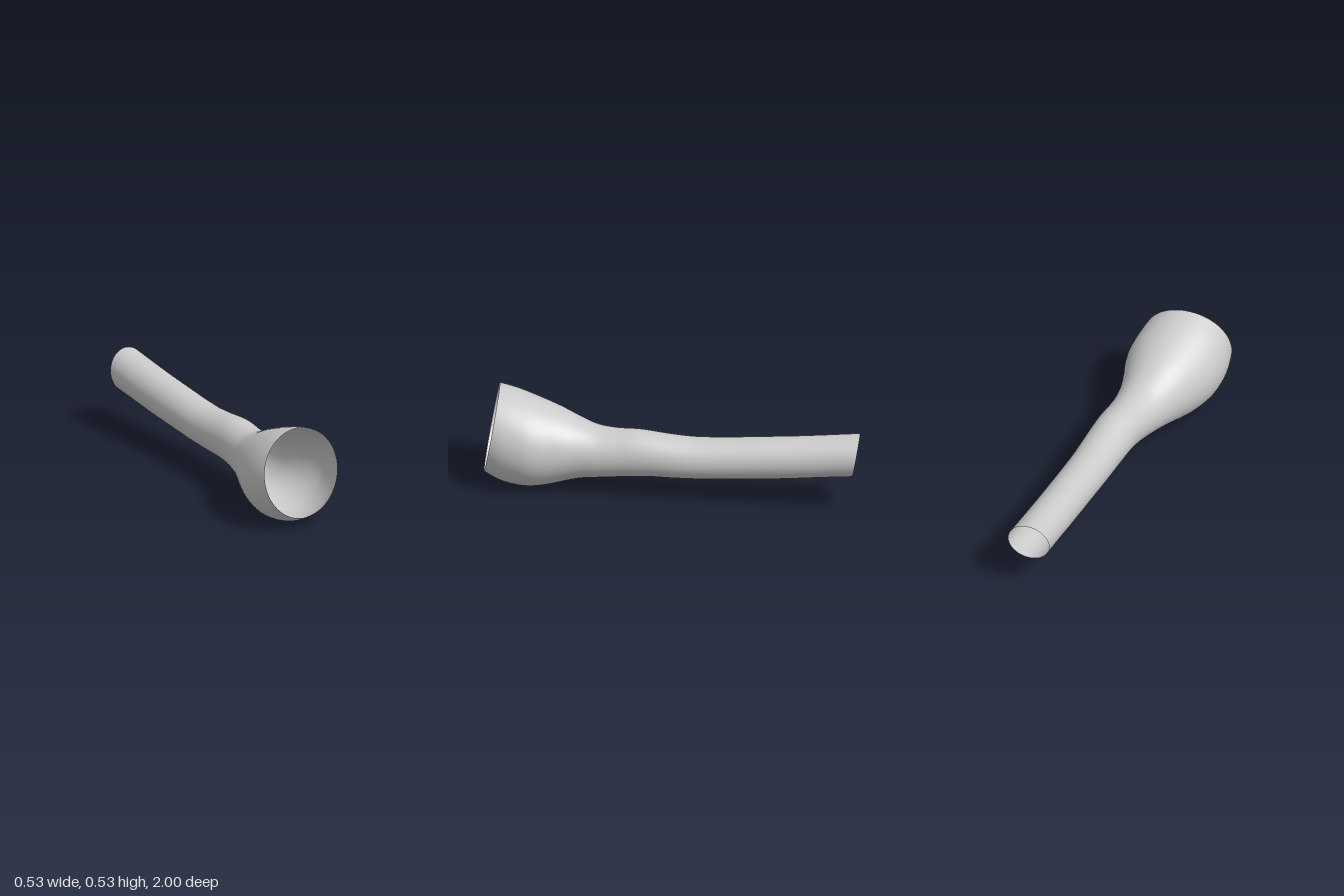
import * as THREE from 'three';

// Outline of the tube as [z, value] pairs, back to front
const TOP = [[-1, 0.432], [-0.7, 0.397], [-0.5, 0.378], [-0.3, 0.36], [-0.13, 0.35], [0, 0.355], [0.17, 0.368],
  [0.3, 0.361], [0.4, 0.366], [0.5, 0.397], [0.6, 0.438], [0.8, 0.505], [0.92, 0.533], [1, 0.545]];
const BOTTOM = [[-1, 0.205], [-0.8, 0.185], [-0.6, 0.163], [-0.4, 0.146], [-0.2, 0.131], [0, 0.123], [0.1, 0.121],
  [0.2, 0.112], [0.4, 0.083], [0.5, 0.064], [0.65, 0.02], [0.78, 0.003], [0.9, 0.02], [1, 0.065]];
const RIGHT = [[-1, 0.043], [-0.5, 0.02], [-0.2, 0.003], [0, -0.012], [0.2, -0.035], [0.3, -0.058], [0.4, -0.093],
  [0.5, -0.14], [0.6, -0.188], [0.7, -0.23], [0.8, -0.259], [0.9, -0.268], [1, -0.255]];
const LEFT = [[-1, 0.266], [-0.5, 0.24], [-0.2, 0.226], [0, 0.217], [0.2, 0.204], [0.3, 0.195], [0.4, 0.19],
  [0.5, 0.193], [0.6, 0.213], [0.7, 0.238], [0.77, 0.245], [0.9, 0.227], [1, 0.19]];

// Smooth cubic lookup through the pairs
function sample(p, z) {
  const slope = (i) => {
    const a = p[Math.max(i - 1, 0)], b = p[Math.min(i + 1, p.length - 1)];
    return (b[1] - a[1]) / (b[0] - a[0]);
  };
  let i = 0;
  while (i < p.length - 2 && z > p[i + 1][0]) i++;
  const h = p[i + 1][0] - p[i][0];
  const t = THREE.MathUtils.clamp((z - p[i][0]) / h, 0, 1);
  const t2 = t * t, t3 = t2 * t;
  return (2 * t3 - 3 * t2 + 1) * p[i][1] + (t3 - 2 * t2 + t) * h * slope(i)
    + (3 * t2 - 2 * t3) * p[i + 1][1] + (t3 - t2) * h * slope(i + 1);
}

// Point on the elliptical section at depth z
function sectionPoint(z, angle) {
  const l = sample(LEFT, z), r = sample(RIGHT, z), t = sample(TOP, z), b = sample(BOTTOM, z);
  return [(l + r) / 2 + (l - r) / 2 * Math.cos(angle), (t + b) / 2 + (t - b) / 2 * Math.sin(angle)];
}

export function createModel() {
  const RINGS = 120, SIDES = 72, TILT_X = -0.065, TILT_Y = -0.175;
  const positions = [], index = [];

  // Rings lie in planes tilted square to the tube's axis, so both rims slant
  for (let i = 0; i <= RINGS; i++) {
    const zc = THREE.MathUtils.lerp(-0.98, 0.958, i / RINGS);
    const cx = (sample(LEFT, zc) + sample(RIGHT, zc)) / 2;
    const cy = (sample(TOP, zc) + sample(BOTTOM, zc)) / 2;
    for (let j = 0; j < SIDES; j++) {
      const angle = j / SIDES * Math.PI * 2;
      let z = zc, x, y;
      for (let k = 0; k < 8; k++) {
        [x, y] = sectionPoint(z, angle);
        z = zc + TILT_X * (x - cx) + TILT_Y * (y - cy);
      }
      positions.push(x, y, z);
      if (i < RINGS) {
        const a = i * SIDES + j, b = i * SIDES + (j + 1) % SIDES;
        index.push(a, b, b + SIDES, a, b + SIDES, a + SIDES);
      }
    }
  }

  const geometry = new THREE.BufferGeometry();
  geometry.setAttribute('position', new THREE.Float32BufferAttribute(positions, 3));
  geometry.setIndex(index);
  geometry.computeVertexNormals();

  // Open, thin-walled tube flaring into a bulb
  const tube = new THREE.Mesh(geometry,
    new THREE.MeshStandardMaterial({ color: 0xcccccc, side: THREE.DoubleSide }));
  tube.name = 'flaredTube';

  const model = new THREE.Group();
  model.name = 'flaredTubeModel';
  model.add(tube);
  return model;
}
